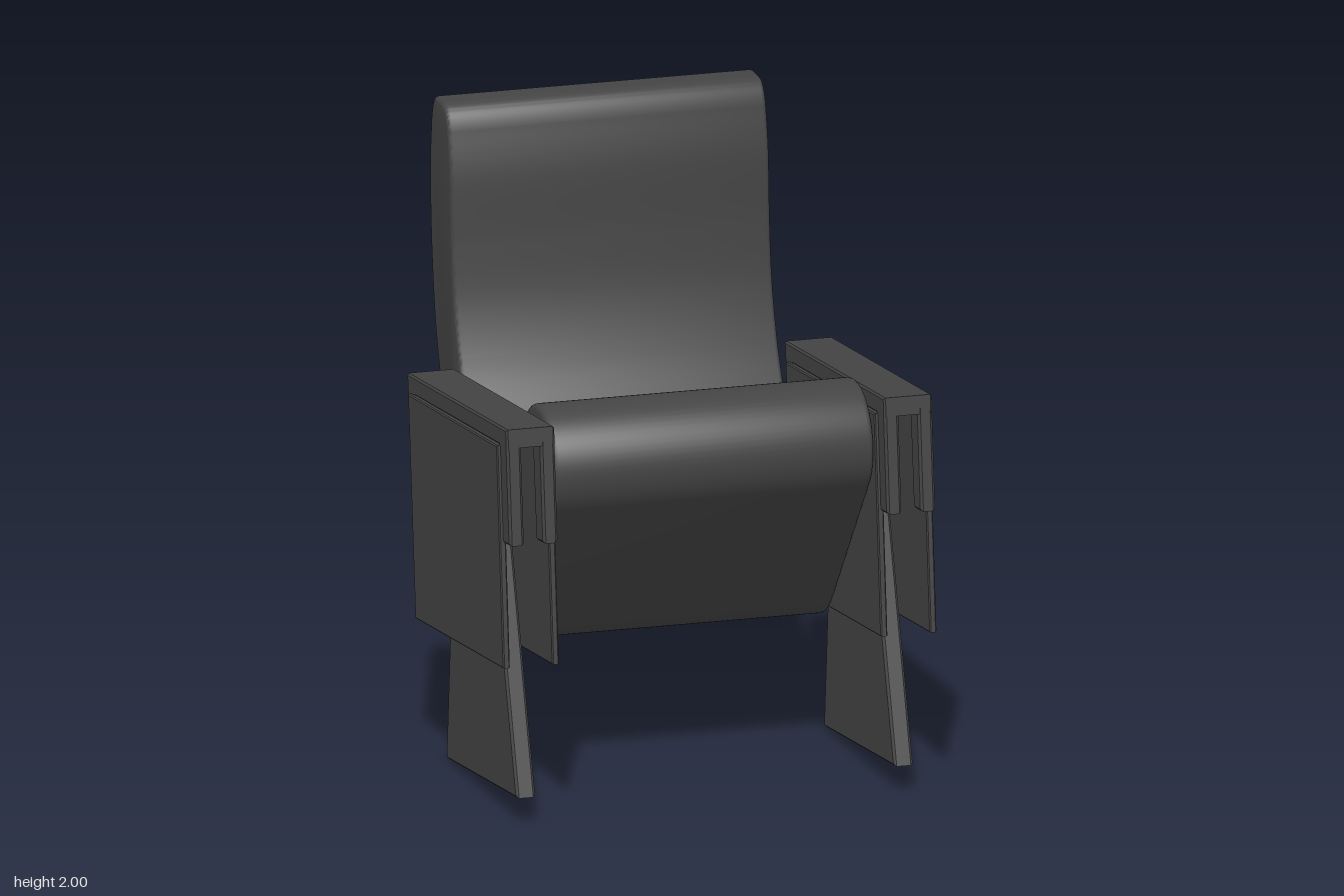
import * as THREE from 'three';
import { toCreasedNormals } from 'three/addons/utils/BufferGeometryUtils.js';

const mat = new THREE.MeshStandardMaterial({ color: 0x444444 });

// Extrudes a side profile of [z, y] points across x, centred on x, with a small bevel.
function slab(name, outline, x, width, bevel = 0.006, bevelSegments = 1) {
  const shape = Array.isArray(outline)
    ? new THREE.Shape(outline.map(([z, y]) => new THREE.Vector2(z, y)))
    : outline;
  const depth = width - 2 * bevel;
  const geo = new THREE.ExtrudeGeometry(shape, {
    depth, curveSegments: 16, bevelEnabled: true, bevelSegments,
    bevelThickness: bevel, bevelSize: bevel, bevelOffset: -bevel,
  });
  geo.translate(0, 0, -depth / 2);
  geo.rotateY(-Math.PI / 2);
  geo.translate(x, 0, 0);
  const mesh = new THREE.Mesh(toCreasedNormals(geo, 0.6), mat);
  mesh.name = name;
  return mesh;
}

// Tipped-up cushion: a thick slab with fully rounded ends.
function seatShape() {
  const r = 0.187, lo = [0.045, 0.622], hi = [0.455, 1.118];
  const a = Math.atan2(hi[1] - lo[1], hi[0] - lo[0]);
  const s = new THREE.Shape();
  s.absarc(hi[0], hi[1], r, a - Math.PI / 2, a + Math.PI / 2, false);
  s.absarc(lo[0], lo[1], r, a + Math.PI / 2, a + Math.PI * 1.5, false);
  s.closePath();
  return s;
}

// Curved backrest: front and rear splines joined by a round top and short underside.
function backShape() {
  const v = (p) => p.map(([z, y]) => new THREE.Vector2(z, y));
  const s = new THREE.Shape();
  s.moveTo(-0.36, 0.637);
  s.lineTo(-0.17, 0.66);
  s.quadraticCurveTo(-0.135, 0.67, -0.15, 0.71);
  s.splineThru(v([[-0.205, 0.84], [-0.3, 1.01], [-0.39, 1.18], [-0.45, 1.36], [-0.477, 1.55], [-0.492, 1.78], [-0.52, 1.92]]));
  s.quadraticCurveTo(-0.54, 2, -0.6, 2);
  s.lineTo(-0.655, 2);
  s.quadraticCurveTo(-0.695, 2, -0.712, 1.92);
  s.splineThru(v([[-0.727, 1.76], [-0.712, 1.5], [-0.662, 1.23], [-0.56, 0.97], [-0.44, 0.745], [-0.4, 0.67]]));
  s.quadraticCurveTo(-0.385, 0.634, -0.36, 0.637);
  return s;
}

// One side stand, drawn about x = 0.
function sideStand() {
  const g = new THREE.Group();
  // Solid arm top
  g.add(slab('armTop', [[0.692, 1.307], [-0.385, 1.19], [-0.378, 1.13], [0.698, 1.247]], 0, 0.158));
  for (const s of [-1, 1]) {
    // Paired rails below both ends of the arm top
    g.add(slab('frontRail', [[0.61, 1.25], [0.65, 0.928], [0.732, 0.938], [0.696, 1.27]], s * 0.055, 0.048, 0.008));
    g.add(slab('rearRail', [[-0.382, 1.16], [-0.34, 0.817], [-0.26, 0.81], [-0.3, 1.16]], s * 0.055, 0.048, 0.008));
    // Thin cladding panel
    g.add(slab('sidePanel', [[0.63, 1.24], [-0.335, 1.137], [-0.255, 0.428], [0.703, 0.533]], s * 0.08, 0.022, 0.004));
  }
  // Bar closing the bottom of the rear slot
  g.add(slab('rearRailBar', [[-0.345, 0.87], [-0.338, 0.82], [-0.265, 0.815], [-0.27, 0.87]], 0, 0.1));
  // Tapering foot board
  g.add(slab('foot', [[0.648, 0.09], [0.37, 0.93], [-0.035, 0.885], [-0.12, 0.005]], 0, 0.062, 0.008));
  return g;
}

export function createModel() {
  const model = new THREE.Group();
  model.name = 'tipUpSeat';
  model.add(slab('seatCushion', seatShape(), 0, 1.045, 0.018, 3));
  model.add(slab('backrest', backShape(), 0, 1.04, 0.014, 3));

  // Matching stands on both sides
  for (const s of [-1, 1]) {
    const stand = sideStand();
    stand.name = s > 0 ? 'leftStand' : 'rightStand';
    stand.position.x = s * 0.616;
    model.add(stand);
  }
  return model;
}
